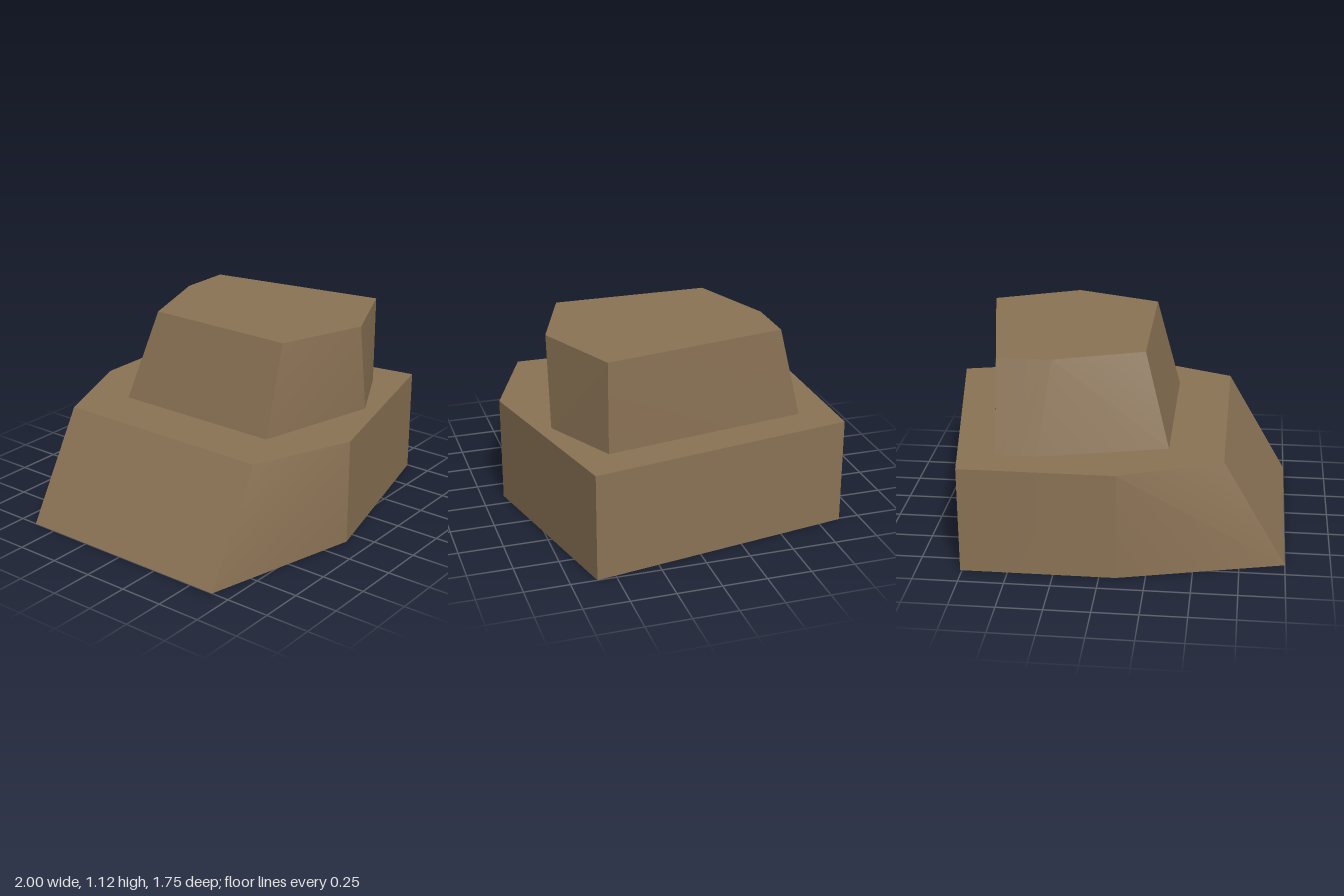
import * as THREE from 'three';
import { ConvexGeometry } from 'three/addons/geometries/ConvexGeometry.js';
import { toCreasedNormals } from 'three/addons/utils/BufferGeometryUtils.js';

// Faceted block spanned between a lower and an upper outline of [x, z] corners
function block(name, lower, y0, upper, y1, material) {
  const points = [
    ...lower.map(([x, z]) => new THREE.Vector3(x, y0, z)),
    ...upper.map(([x, z]) => new THREE.Vector3(x, y1, z)),
  ];
  const mesh = new THREE.Mesh(toCreasedNormals(new ConvexGeometry(points), 0.3), material);
  mesh.name = name;
  return mesh;
}

export function createModel() {
  const group = new THREE.Group();
  group.name = 'steppedRock';
  const stone = new THREE.MeshStandardMaterial({ color: 0x8b7355 });
  stone.name = 'brown stone';

  // Wide base with one sloping end
  const shared = [[-0.09, 0.875], [1, 0.605], [0.76, -0.88], [-0.09, -0.88]];
  group.add(block('baseRock',
    [[-1, 0.645], ...shared, [-1, -0.645]], 0,
    [[-0.65, 0.645], ...shared, [-0.65, -0.645]], 0.606, stone));

  // Smaller block on top, leaning in at the left end and the back
  group.add(block('topRock',
    [[-0.345, 0.5], [0.36, 0.68], [0.77, 0.47], [0.585, -0.68], [0.36, -0.68], [-0.345, -0.5]], 0.606,
    [[-0.205, 0.5], [0.285, 0.68], [0.77, 0.47], [0.585, -0.555], [0.285, -0.555], [-0.205, -0.38]], 1.12, stone));

  return group;
}
